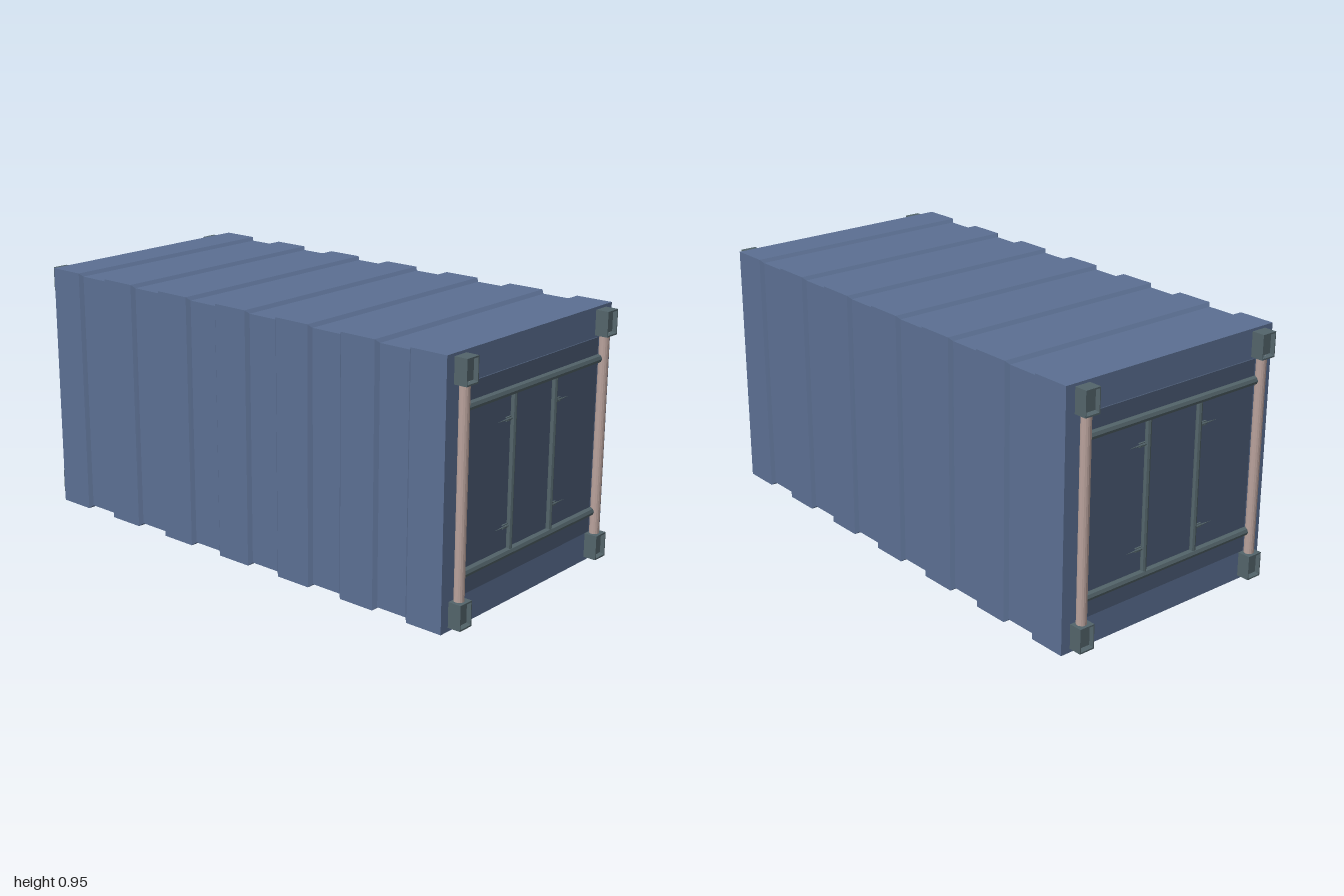
import * as THREE from 'three';

const paint = (color) => new THREE.MeshStandardMaterial({ color, flatShading: true });
const BLUE = paint(0x5b6f92), PANEL = paint(0x4a5a73), STEEL = paint(0x53646a), POST = paint(0xb9a29c);

function add(parent, name, geometry, material, x = 0, y = 0, z = 0) {
  const mesh = new THREE.Mesh(geometry, material);
  mesh.name = name;
  mesh.position.set(x, y, z);
  parent.add(mesh);
  return mesh;
}

// Square tube along z; profile holds [half width, z] pairs
function squareSweep(profile) {
  const points = profile.map(([r, z]) => new THREE.Vector2(r * Math.SQRT2, z));
  return new THREE.LatheGeometry(points, 4, Math.PI / 4).rotateX(Math.PI / 2);
}

// Ribbed shell: seven raised bands with sloped shoulders
function shellGeometry() {
  const high = 0.475, low = 0.463, profile = [[0, -0.95]];
  for (let i = -3; i <= 3; i++) {
    const c = i * 0.2925;
    if (i > -3) profile.push([low, c - 0.085], [high, c - 0.072]);
    else profile.push([high, -0.95]);
    if (i < 3) profile.push([high, c + 0.072], [low, c + 0.085]);
    else profile.push([high, 0.95]);
  }
  profile.push([0, 0.95]);
  return squareSweep(profile);
}

// One end: door panel, frame bars, latches, posts and corner blocks
function createEnd(name) {
  const end = new THREE.Group();
  end.name = name;
  add(end, 'doorPanel', new THREE.BoxGeometry(0.78, 0.73, 0.012), PANEL, 0, 0.475, 0.949);

  for (const y of [0.191, 0.764]) {
    const bar = new THREE.CylinderGeometry(0.016, 0.016, 0.78, 8).rotateZ(Math.PI / 2);
    add(end, 'crossBar', bar, STEEL, 0, y, 0.96);
  }

  const block = squareSweep([[0, 0.945], [1, 0.945], [1, 1], [0.88, 1], [0.76, 0.985], [0, 0.985]]);
  block.scale(0.031, 0.046, 1);
  for (const side of [-1, 1]) {
    add(end, 'lockRod', new THREE.CylinderGeometry(0.0115, 0.0115, 0.56, 8), STEEL, side * 0.119, 0.478, 0.96);
    add(end, 'cornerPost', new THREE.CylinderGeometry(0.0185, 0.0185, 0.76, 16), POST, side * 0.406, 0.478, 0.97);
    for (const y of [0.06, 0.894]) add(end, 'cornerBlock', block, STEEL, side * 0.406, y, 0);

    // Tapered latch handle with a short plate beneath it
    for (const y of [0.288, 0.668]) {
      const handle = new THREE.ConeGeometry(0.005, 0.085, 6).rotateZ(-side * Math.PI / 2);
      add(end, 'latchHandle', handle, STEEL, side * 0.165, y, 0.961);
      for (const dy of [-0.006, 0.006])
        add(end, 'latchPlate', new THREE.BoxGeometry(0.03, 0.003, 0.008), STEEL, side * 0.142, y + dy, 0.957);
    }
  }
  return end;
}

export function createModel() {
  const model = new THREE.Group();
  model.name = 'shippingContainer';
  add(model, 'ribbedShell', shellGeometry(), BLUE, 0, 0.475, 0);
  const back = createEnd('backEnd');
  back.rotation.y = Math.PI;
  model.add(createEnd('frontEnd'), back);
  return model;
}
